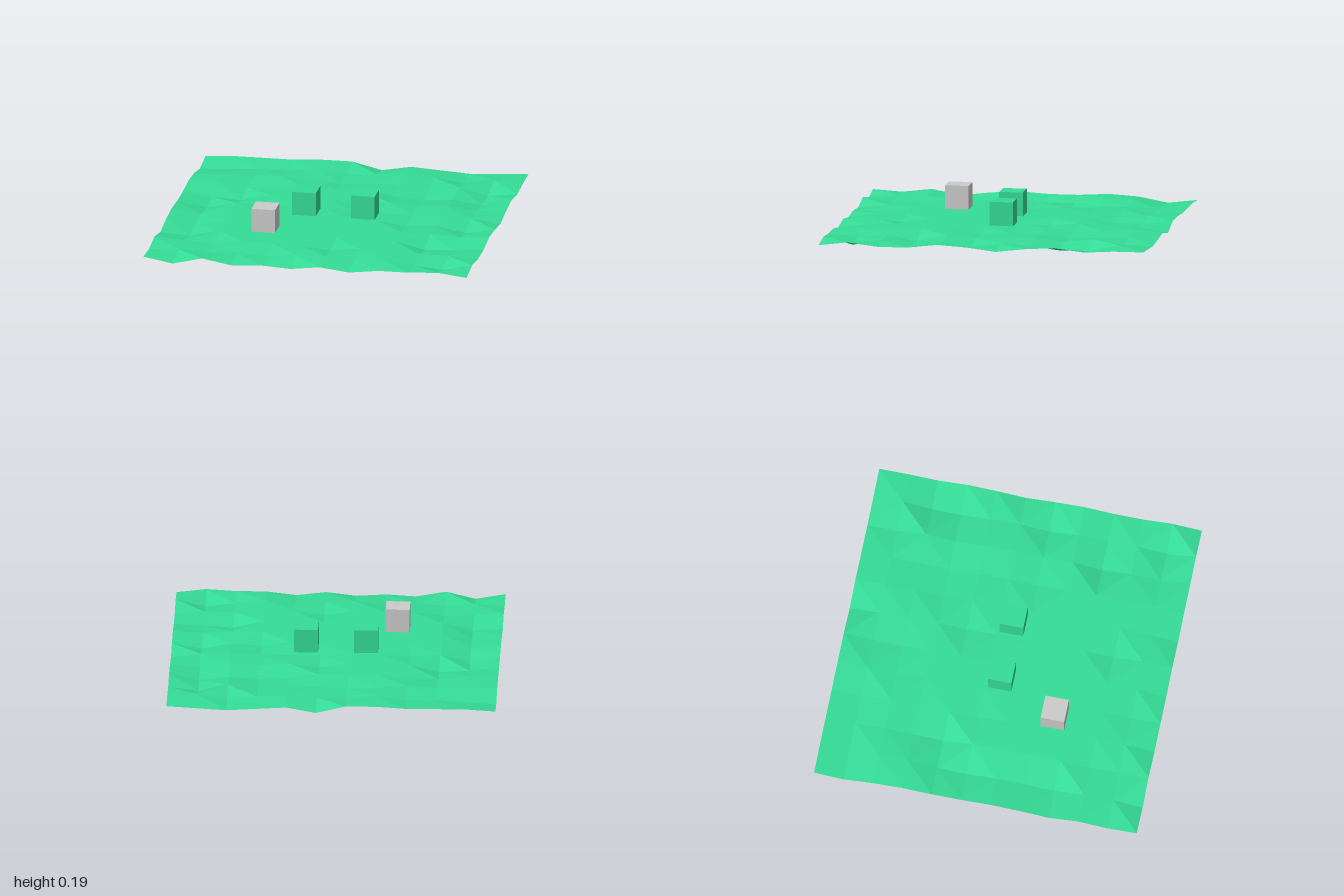
import * as THREE from 'three';

const GREEN = 0x35dc97;
const FLAT = 0.055; // level of the flat middle
const N = 11; // cells per side

// Ground height at each grid corner, 0 (lowest) to 5 (flat level); rows run back to front
const HEIGHTS = [
  '344455143234',
  '123353454254',
  '454543443513',
  '553455532315',
  '421555354534',
  '415455444542',
  '535555553414',
  '425555555545',
  '215555555123',
  '543555355443',
  '343435545315',
  '415232424453',
];

function groundGeometry() {
  const corner = (i, j) => [
    -1 + (2 * i) / N, (Number(HEIGHTS[j][i]) / 5) * FLAT, -1 + (2 * j) / N,
  ];
  const points = [];
  for (let j = 0; j < N; j++) {
    for (let i = 0; i < N; i++) {
      const a = corner(i, j), b = corner(i, j + 1);
      const c = corner(i + 1, j + 1), d = corner(i + 1, j);
      // Fold each cell along its higher diagonal
      const tris = b[1] + d[1] >= a[1] + c[1] ? [a, b, d, b, c, d] : [a, b, c, a, c, d];
      points.push(...tris.flat());
    }
  }
  const g = new THREE.BufferGeometry();
  g.setAttribute('position', new THREE.Float32BufferAttribute(points, 3));
  g.computeVertexNormals();
  return g;
}

export function createModel() {
  const group = new THREE.Group();
  group.name = 'groundWithBlocks';

  // Faceted ground sheet
  const ground = new THREE.Mesh(groundGeometry(), new THREE.MeshStandardMaterial({
    color: GREEN, flatShading: true, side: THREE.DoubleSide,
  }));
  ground.name = 'ground';
  group.add(ground);

  // Cubes standing on the flat middle
  const size = 0.146;
  const cube = new THREE.BoxGeometry(size, size, size);
  const addCube = (name, color, x, z) => {
    const mesh = new THREE.Mesh(cube, new THREE.MeshStandardMaterial({ color }));
    mesh.name = name;
    mesh.position.set(x, FLAT + size / 2, z);
    group.add(mesh);
  };
  addCube('leftGreenCube', GREEN, 0.18, 0);
  addCube('rightGreenCube', GREEN, -0.184, 0);
  addCube('greyCube', 0xcccccc, -0.366, 0.364);

  return group;
}
